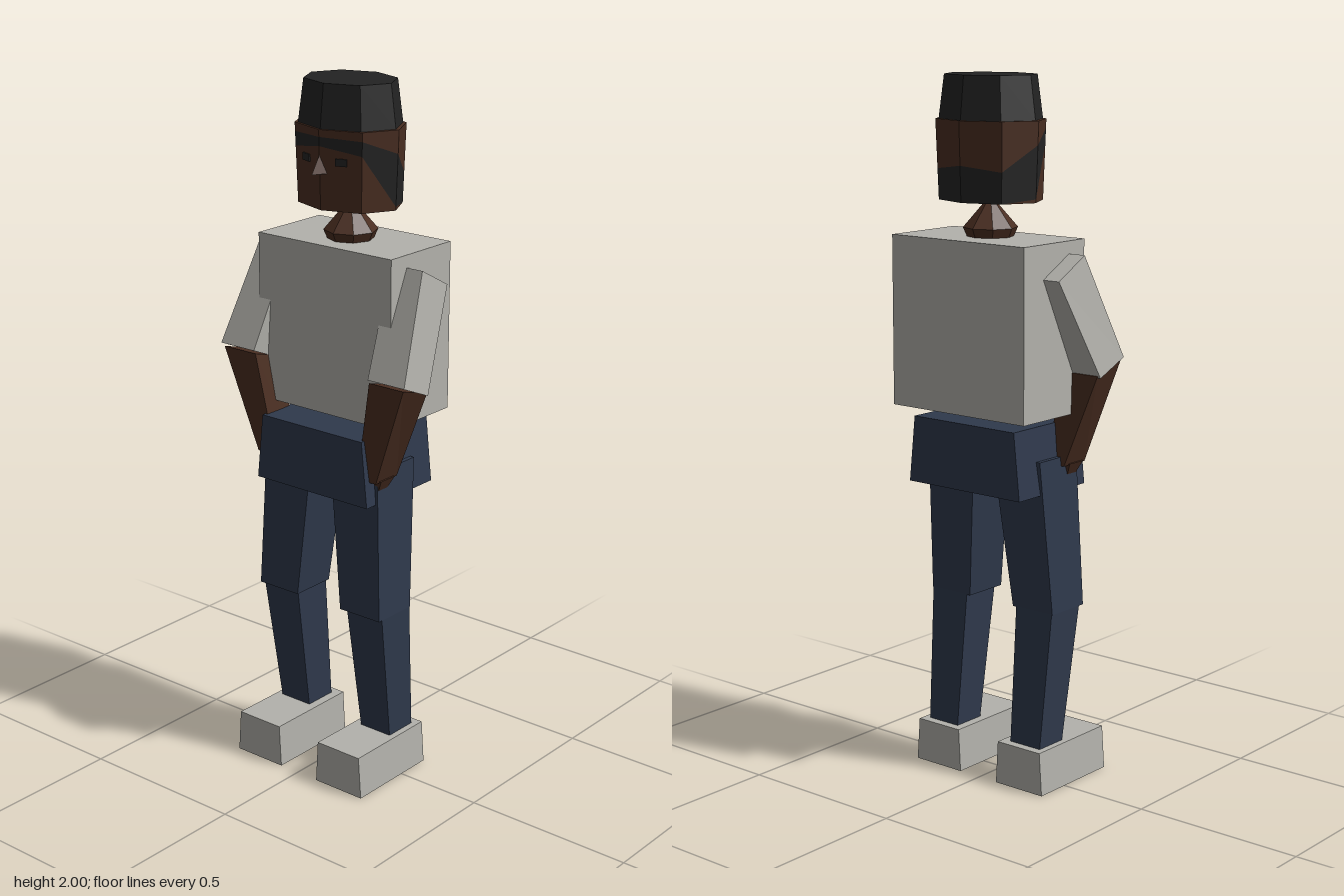
import * as THREE from 'three';

const material = (name, color) => {
  const m = new THREE.MeshStandardMaterial({ color, flatShading: true });
  m.name = name;
  return m;
};

// Joins rings of [x, y, z], listed top to bottom, each running anticlockwise seen from above
function loft(rings, capTop = true, capBottom = true) {
  const pos = [];
  const [a, b, c] = [0, 1, 2].map(() => new THREE.Vector3());
  const tri = (p, q, r) => {
    a.set(...p); b.set(...q); c.set(...r);
    if (b.sub(a).cross(c.sub(a)).length() > 1e-9) pos.push(...p, ...q, ...r);
  };
  const n = rings[0].length;
  for (let k = 0; k < rings.length - 1; k++) {
    const t = rings[k], u = rings[k + 1];
    for (let i = 0; i < n; i++) {
      const j = (i + 1) % n;
      tri(t[i], u[i], u[j]);
      tri(t[i], u[j], t[j]);
    }
  }
  const top = rings[0], bottom = rings[rings.length - 1];
  for (let i = 1; i < n - 1; i++) {
    if (capTop) tri(top[0], top[i], top[i + 1]);
    if (capBottom) tri(bottom[0], bottom[i + 1], bottom[i]);
  }
  const g = new THREE.BufferGeometry();
  g.setAttribute('position', new THREE.Float32BufferAttribute(pos, 3));
  g.computeVertexNormals();
  return g;
}

// Four-cornered ring; the front and back edges may sit at different heights
const quad = (x0, x1, zBack, zFront, yFront, yBack = yFront) => [
  [x0, yFront, zFront], [x1, yFront, zFront], [x1, yBack, zBack], [x0, yBack, zBack],
];

const mirror = (ring) => ring.map(([x, y, z]) => [-x, y, z]).reverse();

// Eight-cornered ring with a corner at the front; y is a number or a height by corner
const HEAD_Z = -0.045;
function octagon(rx, rz, y, cz = HEAD_Z) {
  return Array.from({ length: 8 }, (_, i) => {
    const angle = (i * Math.PI) / 4;
    const h = Array.isArray(y) ? y[Math.min(i, 8 - i)] : y;
    return [Math.sin(angle) * rx, h, cz + Math.cos(angle) * rz];
  });
}

// Head ring whose size narrows slightly towards the jaw at each corner
function headRing(y) {
  return octagon(1, 1, y).map(([x, h, z]) => {
    const s = 1 - 0.25 * (1.88 - h);
    return [x * 0.167 * s, h, HEAD_Z + (z - HEAD_Z) * 0.133 * s];
  });
}

export function createModel() {
  const shirt = material('pale grey cloth', 0xb3b2ac);
  const trousers = material('navy cloth', 0x2f394c);
  const skin = material('brown skin', 0x4a2e21);
  const hair = material('black hair', 0x232323);

  const model = new THREE.Group();
  const body = new THREE.Group();
  body.name = 'body';
  body.position.x = 0.004;
  model.add(body);
  const add = (name, geometry, mat) => {
    const mesh = new THREE.Mesh(geometry, mat);
    mesh.name = name;
    body.add(mesh);
    return mesh;
  };

  // Trunk
  add('torso', loft([quad(-0.235, 0.235, -0.19, 0.07, 1.56), quad(-0.235, 0.235, -0.19, 0.07, 1.08)]), shirt);
  add('hips', loft([quad(-0.18, 0.18, -0.165, 0.125, 1.05), quad(-0.2, 0.2, -0.165, 0.125, 0.86)]), trousers);
  add('neck', loft([
    octagon(0.003, 0.003, 1.67, -0.047),
    octagon(0.076, 0.076, 1.585, -0.047),
    octagon(0.065, 0.065, 1.56, -0.047),
  ]), skin);

  // Limbs, described on the model's left and mirrored to its right
  const limbs = [
    ['UpperArm', shirt, [quad(0.18, 0.288, -0.108, 0.003, 1.525, 1.465), quad(0.205, 0.329, 0.025, 0.13, 1.235, 1.19)]],
    ['Forearm', skin, [quad(0.205, 0.322, 0.02, 0.124, 1.225, 1.195), quad(0.15, 0.215, 0.012, 0.105, 0.93)]],
    ['Hand', skin, [quad(0.15, 0.222, 0.03, 0.09, 0.935), quad(0.15, 0.198, 0.045, 0.075, 0.887)]],
    ['Thigh', trousers, [quad(0.035, 0.203, -0.08, 0.083, 0.955), quad(0.08, 0.222, -0.045, 0.095, 0.515)]],
    ['Shin', trousers, [quad(0.092, 0.22, -0.045, 0.08, 0.52), quad(0.1, 0.206, -0.08, 0.022, 0.12)]],
    ['Foot', shirt, [quad(0.074, 0.225, -0.105, 0.188, 0.125), quad(0.067, 0.234, -0.105, 0.188, 0)]],
  ];
  for (const [name, mat, rings] of limbs) {
    add('left' + name, loft(rings), mat);
    add('right' + name, loft(rings.map(mirror)), mat);
  }

  // Head: heights at the front, front-side, side, back-side and back corners
  const jaw = headRing(1.66);
  const hairTop = headRing([1.86, 1.855, 1.815, 1.745, 1.76]);
  const hairline = headRing([1.835, 1.815, 1.67, 1.66, 1.66]);
  add('headBand', loft([headRing(1.88), hairTop], true, false), skin);
  add('lowerHair', loft([hairTop, hairline], false, false), hair);
  add('face', loft([hairline, jaw], false, true), skin);
  add('crown', loft([octagon(0.139, 0.113, 2), octagon(0.156, 0.127, 1.878)]), hair);

  // Nose: a small pointed pyramid
  add('nose', loft([
    [[0, 1.815, 0.083], [0, 1.815, 0.083], [0, 1.815, 0.083]],
    [[0, 1.762, 0.117], [0.024, 1.762, 0.07], [-0.024, 1.762, 0.07]],
  ]), skin);

  // Eyes: thin plates lying on the angled cheeks
  for (const side of [1, -1]) {
    const eye = add(side > 0 ? 'leftEye' : 'rightEye', new THREE.BoxGeometry(0.032, 0.02, 0.008), hair);
    eye.position.set(side * 0.06, 1.795, 0.066);
    eye.rotation.y = side * 0.32;
  }
  return model;
}
